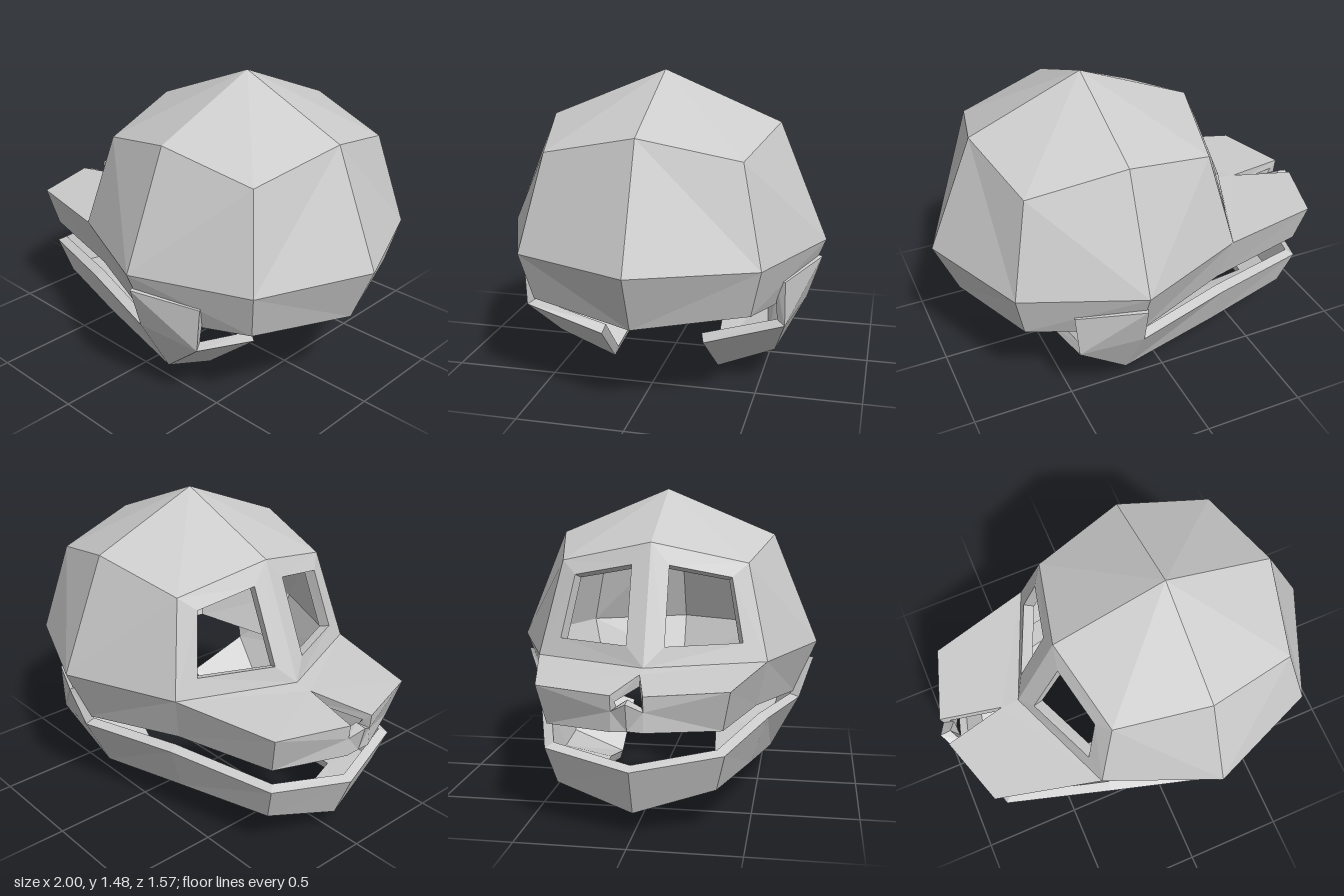
import * as THREE from 'three';

const material = new THREE.MeshStandardMaterial({ color: 0xcccccc, flatShading: true });

// Builds a thick, mirrored shell from named half-side points (z >= 0) and faces listed by point name.
// Faces are turned to point away from `centre`; open edges are closed with a rim.
function shell(name, half, faceText, centre, thickness) {
  const pts = {}, faces = [];
  const mirrorKey = (k) => (half[k][2] > 0 ? k + '*' : k);
  for (const k in half) {
    const [x, y, z] = half[k];
    pts[k] = new THREE.Vector3(x, y, z);
    if (z > 0) pts[k + '*'] = new THREE.Vector3(x, y, -z);
  }
  for (const text of faceText) {
    const f = text.split(' ');
    faces.push(f, f.map(mirrorKey));
  }

  // Face directions and averaged vertex normals
  const normals = {};
  for (const k in pts) normals[k] = new THREE.Vector3();
  for (const f of faces) {
    const n = new THREE.Vector3(), mid = new THREE.Vector3();
    f.forEach((k, i) => {
      n.add(pts[k].clone().cross(pts[f[(i + 1) % f.length]]));
      mid.addScaledVector(pts[k], 1 / f.length);
    });
    n.normalize();
    if (n.dot(mid.sub(centre)) < 0) {
      n.negate();
      f.splice(1, f.length - 1, ...f.slice(1).reverse());
    }
    f.forEach((k) => normals[k].add(n));
  }
  const inner = {};
  for (const k in pts) inner[k] = pts[k].clone().addScaledVector(normals[k].normalize(), -thickness);

  const pos = [];
  const fan = (poly) => {
    for (let i = 1; i < poly.length - 1; i++)
      for (const p of [poly[0], poly[i], poly[i + 1]]) pos.push(p.x, p.y, p.z);
  };
  const edges = new Set();
  const eachEdge = (fn) => faces.forEach((f) => f.forEach((a, i) => fn(a, f[(i + 1) % f.length])));
  eachEdge((a, b) => edges.add(a + '>' + b));
  for (const f of faces) {
    fan(f.map((k) => pts[k]));
    fan([f[0], ...f.slice(1).reverse()].map((k) => inner[k]));
  }
  eachEdge((a, b) => {
    if (!edges.has(b + '>' + a)) fan([pts[b], pts[a], inner[a], inner[b]]);
  });

  const geometry = new THREE.BufferGeometry();
  geometry.setAttribute('position', new THREE.Float32BufferAttribute(pos, 3));
  geometry.computeVertexNormals();
  const mesh = new THREE.Mesh(geometry, material);
  mesh.name = name;
  return mesh;
}

export function createModel() {
  const model = new THREE.Group();
  model.name = 'skull';

  // Cranium with eye sockets and upper muzzle, open below
  model.add(shell('cranium', {
    crown: [0.215, 1.485, 0],
    topFront: [-0.34, 1.255, 0], topBack: [0.77, 1.255, 0], topSide: [0.215, 1.255, 0.555],
    browCorner: [-0.238, 1.153, 0.453], backCorner: [0.668, 1.153, 0.453],
    bridge: [-0.57, 0.7, 0], cheek: [-0.34, 0.7, 0.555], side: [0.215, 0.7, 0.785],
    rear: [0.77, 0.7, 0.555], back: [1, 0.7, 0],
    cheekLow: [-0.295, 0.475, 0.504], sideLow: [0.215, 0.43, 0.673],
    rearLow: [0.72, 0.475, 0.504], backLow: [0.888, 0.43, 0],
    eyeA: [-0.51, 0.79, 0.09], eyeB: [-0.36, 0.79, 0.44],
    eyeC: [-0.295, 1.09, 0.38], eyeD: [-0.36, 1.15, 0.09],
    notch: [-0.66, 0.69, 0], nose: [-0.975, 0.67, 0.07], noseMid: [-0.967, 0.6, 0.07],
    noseLow: [-0.965, 0.51, 0.07], tip: [-1, 0.64, 0], tipLow: [-0.968, 0.515, 0],
    snout: [-0.86, 0.675, 0.425], snoutLow: [-0.81, 0.49, 0.39],
  }, [
    // dome
    'crown topSide browCorner topFront', 'crown topBack backCorner topSide',
    'side cheek browCorner topSide', 'side topSide backCorner rear', 'rear backCorner topBack back',
    // lower band
    'cheek side sideLow cheekLow', 'side rear rearLow sideLow', 'rear back backLow rearLow',
    // frame around the eye socket
    'bridge cheek eyeB eyeA', 'cheek browCorner eyeC eyeB',
    'browCorner topFront eyeD eyeC', 'topFront bridge eyeA eyeD',
    // muzzle
    'notch snout cheek bridge', 'notch nose snout', 'snout cheek cheekLow snoutLow',
    'nose noseMid snout', 'noseMid noseLow snoutLow snout', 'noseMid tip tipLow noseLow',
  ], new THREE.Vector3(0, 0.55, 0), 0.055));

  // Lower jaw: side walls, bottom rails, rear plates and upright hinges
  model.add(shell('lowerJaw', {
    chinTop: [-0.94, 0.325, 0], chinMid: [-0.85, 0.11, 0], chinLow: [-0.67, 0.1, 0],
    cornerTop: [-0.82, 0.38, 0.4], cornerMid: [-0.76, 0.205, 0.36], cornerLow: [-0.63, 0.145, 0.2],
    wallTop: [-0.3, 0.415, 0.56], wallMid: [-0.28, 0.185, 0.48], wallLow: [-0.28, 0.13, 0.23],
    angleTop: [0.2, 0.4, 0.7], angleMid: [0.23, 0.12, 0.555], angleLow: [0.23, 0.005, 0.27],
    rearMid: [0.5, 0.355, 0.63], rearLow: [0.51, 0.24, 0.25],
    hingeFront: [0.215, 0.615, 0.77], hingeBack: [0.52, 0.575, 0.63],
  }, [
    'chinTop cornerTop cornerMid chinMid', 'chinMid cornerMid cornerLow chinLow',
    'cornerTop wallTop wallMid cornerMid', 'cornerMid wallMid wallLow cornerLow',
    'wallTop angleTop angleMid wallMid', 'wallMid angleMid angleLow wallLow',
    'angleTop rearMid angleMid', 'angleMid rearMid rearLow angleLow',
    'hingeFront hingeBack rearMid angleTop',
  ], new THREE.Vector3(0, 0.4, 0), 0.05));

  return model;
}
